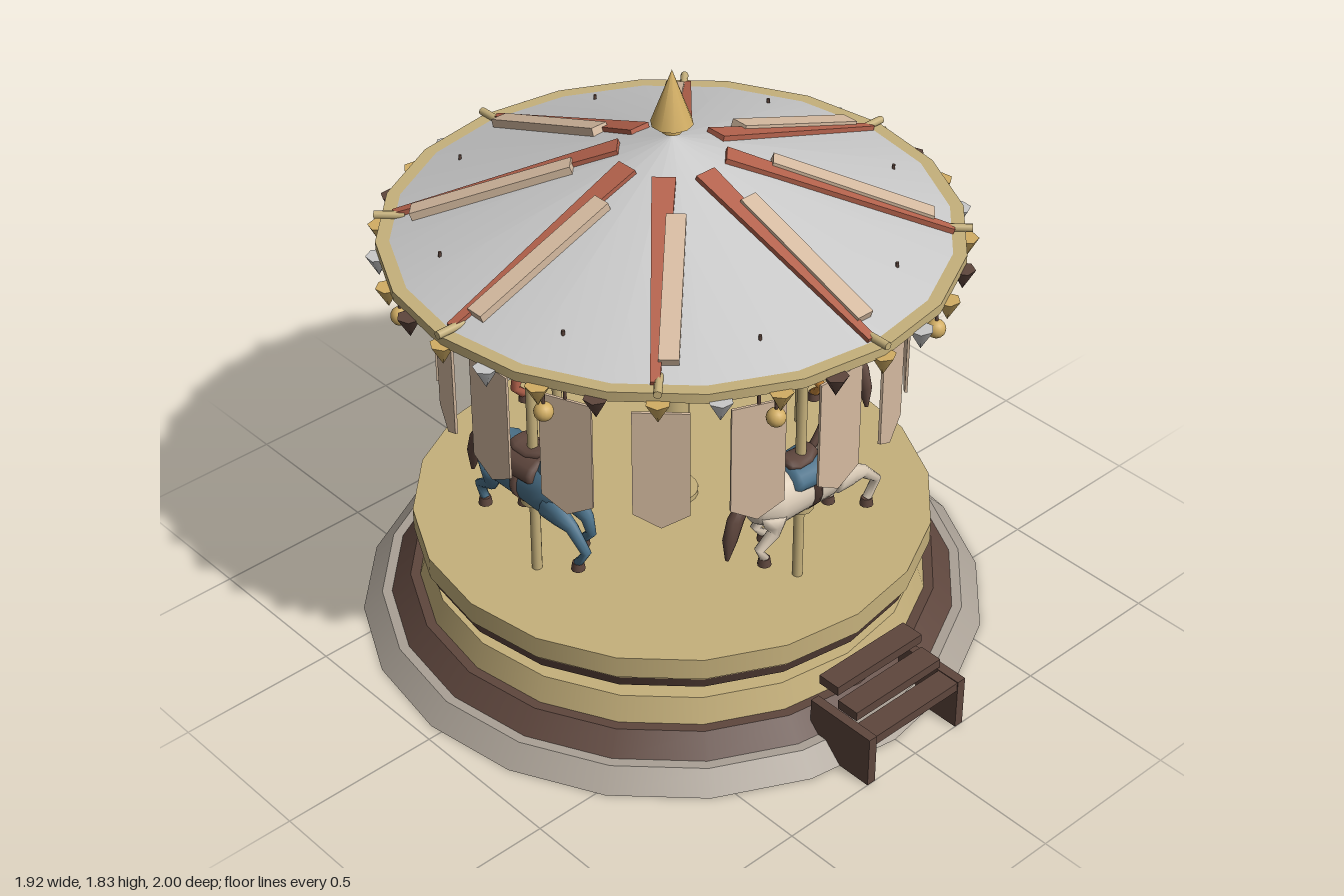
import * as THREE from 'three';

const mat = (name, color) => {
  const m = new THREE.MeshStandardMaterial({ color });
  m.name = name;
  return m;
};
const M = {
  wood: mat('tan wood', 0xc6b17c), gold: mat('gold', 0xd2ae64), stone: mat('stone', 0xaaa196),
  brown: mat('dark brown', 0x5e463d), cream: mat('cream', 0xdccdb9), cloth: mat('peach cloth', 0xd6bba1),
  silver: mat('silver roof', 0xc9c9c9), red: mat('rust red', 0xb4624c), orange: mat('orange', 0xcb8a3c),
  blue: mat('slate blue', 0x4a7088),
};

function add(parent, name, geo, material, x = 0, y = 0, z = 0) {
  const mesh = new THREE.Mesh(geo, material);
  mesh.name = name;
  mesh.position.set(x, y, z);
  parent.add(mesh);
  return mesh;
}

// Upright cylinder given by its bottom and top heights
const drum = (parent, name, material, rBottom, rTop, y0, y1, sides = 20, x = 0, z = 0) =>
  add(parent, name, new THREE.CylinderGeometry(rTop, rBottom, y1 - y0, sides), material, x, (y0 + y1) / 2, z);

// Group turned about the vertical axis, so its +z points outward
function spoke(parent, name, angle) {
  const g = new THREE.Group();
  g.name = name;
  g.rotation.y = angle;
  parent.add(g);
  return g;
}

// Skin of elliptical sections [x, y, half height, half width, z] along a path in the xy plane
function loft(sections, sides = 14) {
  const pos = [], index = [], n = sections.length;
  sections.forEach(([x, y, a, b, z = 0], i) => {
    const p = sections[Math.max(i - 1, 0)], q = sections[Math.min(i + 1, n - 1)];
    const len = Math.hypot(q[0] - p[0], q[1] - p[1]);
    const tx = (q[0] - p[0]) / len, ty = (q[1] - p[1]) / len;
    for (let j = 0; j < sides; j++) {
      const t = (j / sides) * Math.PI * 2, c = a * Math.cos(t);
      pos.push(x - ty * c, y + tx * c, z + b * Math.sin(t));
    }
  });
  for (let i = 0; i < n - 1; i++) for (let j = 0; j < sides; j++) {
    const k = (j + 1) % sides, a = i * sides + j, b = i * sides + k;
    index.push(a, b, a + sides, b, b + sides, a + sides);
  }
  const first = sections[0], last = sections[n - 1], c0 = n * sides;
  pos.push(first[0], first[1], first[4] || 0, last[0], last[1], last[4] || 0);
  for (let j = 0; j < sides; j++) {
    const k = (j + 1) % sides, e = (n - 1) * sides;
    index.push(c0, k, j, c0 + 1, e + j, e + k);
  }
  const g = new THREE.BufferGeometry();
  g.setAttribute('position', new THREE.Float32BufferAttribute(pos, 3));
  g.setIndex(index);
  g.computeVertexNormals();
  return g;
}

// Galloping horse heading +x
function makeHorse(coat, blanket) {
  const h = new THREE.Group();
  h.name = 'horse';
  add(h, 'torso', loft([[-0.2, 0.72, 0.02, 0.02], [-0.185, 0.72, 0.06, 0.05], [-0.13, 0.715, 0.088, 0.078],
    [-0.03, 0.705, 0.078, 0.074], [0.07, 0.71, 0.086, 0.078], [0.13, 0.725, 0.078, 0.066],
    [0.165, 0.735, 0.045, 0.04], [0.175, 0.74, 0.015, 0.015]], 18), coat);
  add(h, 'neck', loft([[0.09, 0.735, 0.075, 0.055], [0.135, 0.82, 0.056, 0.043],
    [0.15, 0.89, 0.042, 0.034], [0.148, 0.94, 0.022, 0.024]]), coat);
  add(h, 'head', loft([[0.128, 0.945, 0.015, 0.015], [0.138, 0.93, 0.03, 0.028], [0.158, 0.905, 0.036, 0.032],
    [0.18, 0.872, 0.027, 0.025], [0.197, 0.845, 0.023, 0.022], [0.206, 0.832, 0.01, 0.012]]), coat);
  add(h, 'mane', loft([[0.035, 0.8, 0.012, 0.01], [0.078, 0.85, 0.014, 0.013], [0.105, 0.9, 0.014, 0.013],
    [0.125, 0.95, 0.012, 0.01]], 8), M.brown);
  add(h, 'tail', loft([[-0.17, 0.765, 0.012, 0.012], [-0.215, 0.755, 0.022, 0.018], [-0.255, 0.7, 0.028, 0.022],
    [-0.275, 0.64, 0.024, 0.02], [-0.285, 0.575, 0.006, 0.006]], 10), M.brown);
  for (const s of [-1, 1]) {
    add(h, 'ear', new THREE.ConeGeometry(0.011, 0.035, 6), coat, 0.14, 0.957, s * 0.016);
    add(h, 'eye', new THREE.SphereGeometry(0.006, 8, 6), M.brown, 0.165, 0.908, s * 0.03);
  }
  // Each leg: hip, knee, fetlock, hoof
  const legs = [
    [1, [0.11, 0.69], [0.215, 0.66], [0.275, 0.605], [0.238, 0.55]],
    [-1, [0.11, 0.68], [0.185, 0.635], [0.2, 0.59], [0.163, 0.55]],
    [1, [-0.14, 0.69], [-0.145, 0.62], [-0.2, 0.59], [-0.178, 0.55]],
    [-1, [-0.13, 0.69], [-0.085, 0.62], [-0.135, 0.59], [-0.1, 0.55]],
  ];
  for (const [s, hip, knee, fetlock, hoof] of legs) {
    const z = s * 0.042;
    add(h, 'leg', loft([[...hip, 0.05, 0.034, z], [(hip[0] + knee[0]) / 2, (hip[1] + knee[1]) / 2, 0.037, 0.028, z],
      [...knee, 0.021, 0.02, z], [...fetlock, 0.015, 0.015, z], [...hoof, 0.014, 0.014, z]], 10), coat);
    drum(h, 'hoof', M.brown, 0.021, 0.017, 0.528, 0.553, 10, hoof[0], z);
  }
  // Tack
  add(h, 'blanket', loft([[-0.08, 0.765, 0.038, 0.07], [-0.06, 0.76, 0.046, 0.076], [0, 0.755, 0.048, 0.078],
    [0.055, 0.76, 0.046, 0.078], [0.072, 0.765, 0.038, 0.072]]), blanket);
  add(h, 'saddle', loft([[-0.065, 0.81, 0.016, 0.035], [-0.04, 0.8, 0.018, 0.042], [0.01, 0.797, 0.016, 0.04],
    [0.045, 0.808, 0.018, 0.025]]), M.brown);
  add(h, 'girth', loft([[-0.012, 0.712, 0.084, 0.082], [0.012, 0.712, 0.084, 0.082]], 18), M.brown);
  return h;
}

export function createModel() {
  const model = new THREE.Group();
  model.name = 'carousel';
  const ride = spoke(model, 'ride', 0);
  ride.position.z = -0.04;

  // Stepped base and turning deck
  drum(ride, 'stonePlinth', M.stone, 0.96, 0.9, 0, 0.06);
  drum(ride, 'lowerTrim', M.brown, 0.87, 0.81, 0.06, 0.12);
  drum(ride, 'baseRing', M.wood, 0.78, 0.755, 0.12, 0.2);
  drum(ride, 'spindle', M.wood, 0.195, 0.195, 0.2, 0.25);
  drum(ride, 'deckTrim', M.brown, 0.765, 0.78, 0.25, 0.29);
  drum(ride, 'deckLower', M.wood, 0.78, 0.78, 0.29, 0.305);
  drum(ride, 'deck', M.wood, 0.79, 0.79, 0.3, 0.37);
  drum(ride, 'postFoot', M.wood, 0.078, 0.078, 0.37, 0.387);
  drum(ride, 'centrePost', M.wood, 0.052, 0.046, 0.37, 1.31);

  // Roof and finial
  drum(ride, 'roofRim', M.wood, 0.845, 0.845, 1.3, 1.33);
  add(ride, 'roof', new THREE.ConeGeometry(0.805, 0.29, 20), M.silver, 0, 1.475, 0);
  drum(ride, 'finialNeck', M.gold, 0.03, 0.03, 1.635, 1.668, 10);
  add(ride, 'finial', new THREE.ConeGeometry(0.062, 0.168, 10), M.gold, 0, 1.746, 0);

  // Roof ribs with cloth strips, and pegs on the rim
  const ribShape = new THREE.Shape([[-0.05, 0.16], [0.018, 0.16], [0.004, 0.85], [-0.022, 0.85]]
    .map(([x, y]) => new THREE.Vector2(x, y)));
  const ribGeo = new THREE.ExtrudeGeometry(ribShape, { depth: 0.02, bevelEnabled: false }).rotateX(Math.PI / 2);
  const stripGeo = new THREE.BoxGeometry(0.056, 0.025, 0.49);
  const pegGeo = new THREE.CylinderGeometry(0.012, 0.012, 0.09, 8).rotateX(Math.PI / 2);
  for (let i = 0; i < 8; i++) {
    const s = spoke(ride, 'roofRib', i * Math.PI / 4);
    const slope = spoke(s, 'slope', 0);
    slope.position.y = 1.62;
    slope.rotation.x = Math.atan2(0.29, 0.805);
    add(slope, 'rib', ribGeo, M.red, 0, 0.013, 0);
    add(slope, 'clothStrip', stripGeo, M.cloth, 0.024, 0.01, 0.54);
    add(s, 'peg', pegGeo, M.wood, 0, 1.338, 0.81);
    // Hanging baubles between the ribs
    const b = spoke(ride, 'bauble', (i + 0.5) * Math.PI / 4);
    add(b, 'ball', new THREE.SphereGeometry(0.028, 16, 12), M.gold, 0, 1.2, 0.81);
    drum(b, 'ballCord', M.brown, 0.005, 0.005, 1.22, 1.31, 6, 0, 0.81);
  }

  // Pointed banners on thin rods
  const bannerShape = new THREE.Shape([[-0.08, 1.16], [-0.08, 0.815], [0, 0.768], [0.08, 0.815], [0.08, 1.16]]
    .map(([x, y]) => new THREE.Vector2(x, y)));
  const bannerGeo = new THREE.ExtrudeGeometry(bannerShape, { depth: 0.008, bevelEnabled: false });
  for (let i = 0; i < 16; i++) {
    const b = spoke(ride, 'hangingBanner', i * Math.PI / 8);
    add(b, 'banner', bannerGeo, M.cloth, 0, 0, 0.683);
    drum(b, 'bannerRod', M.brown, 0.005, 0.005, 1.15, 1.385, 6, 0, 0.686);
  }

  // Bunting of small upside-down cones round the rim
  const flagGeo = new THREE.ConeGeometry(0.036, 0.065, 6).rotateX(Math.PI);
  const flagColours = [M.gold, M.silver, M.gold, M.brown];
  for (let i = 0; i < 32; i++)
    add(spoke(ride, 'bunting', i * Math.PI / 16), 'pennant', flagGeo, flagColours[i % 4], 0, 1.272, 0.84);

  // Horses on their poles
  [[M.cream, M.blue], [M.orange, M.red], [M.red, M.brown], [M.blue, M.brown]].forEach(([coat, blanket], i) => {
    const mount = spoke(ride, 'mount', i * Math.PI / 2);
    drum(mount, 'horsePole', M.wood, 0.016, 0.016, 0.37, 1.31, 12, 0, 0.54);
    drum(mount, 'poleCollar', M.wood, 0.042, 0.042, 0.618, 0.635, 12, 0, 0.54);
    const horse = makeHorse(coat, blanket);
    horse.position.z = 0.54;
    mount.add(horse);
  });

  // Entrance steps
  const steps = spoke(model, 'steps', 0);
  for (const s of [-1, 1])
    add(steps, 'sideBoard', new THREE.BoxGeometry(0.03, 0.17, 0.235), M.brown, s * 0.183, 0.085, 0.8825);
  [[0.152, 0.96], [0.193, 0.885], [0.238, 0.808]].forEach(([y, z]) =>
    add(steps, 'tread', new THREE.BoxGeometry(0.345, 0.03, 0.075), M.brown, 0, y, z));
  return model;
}
